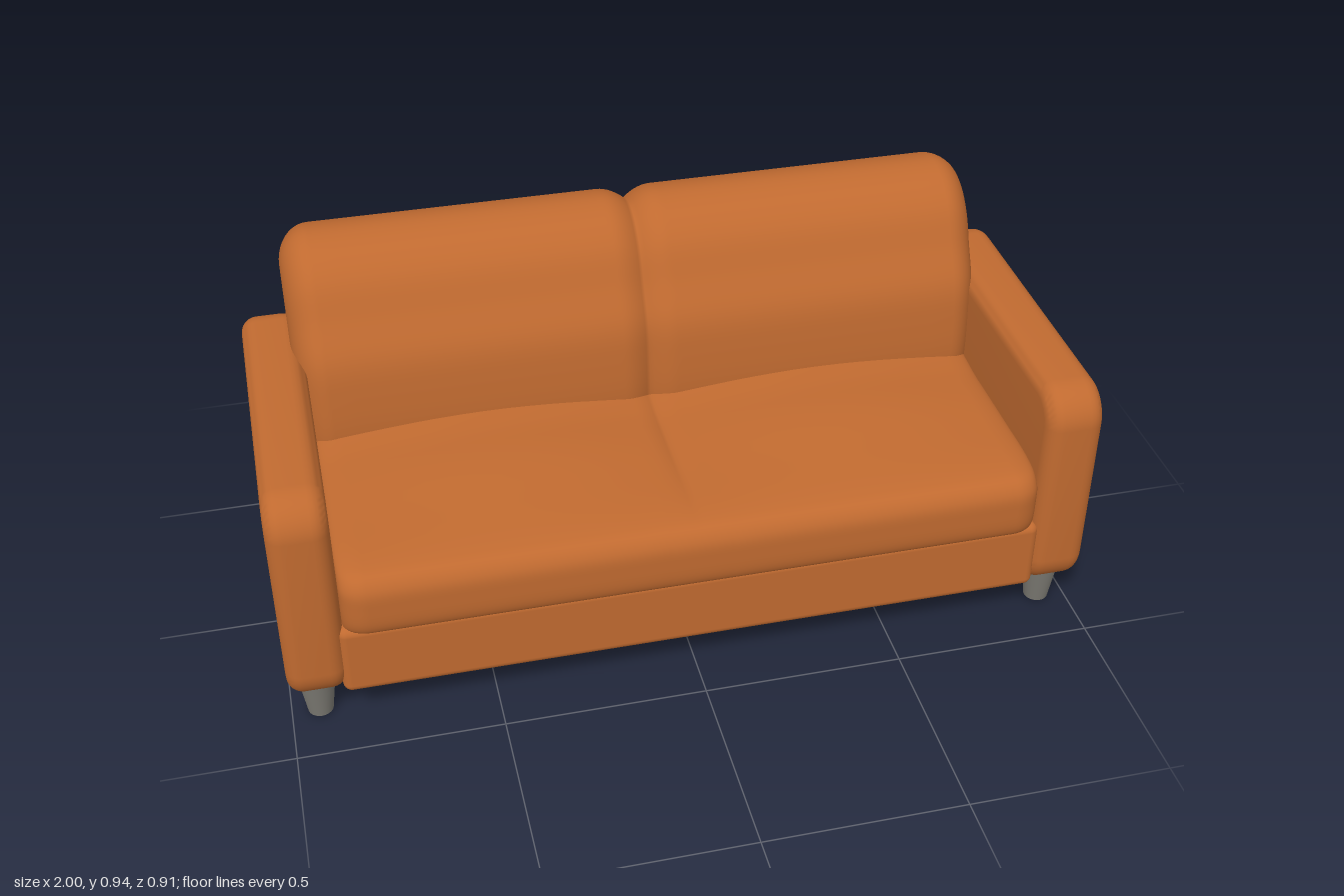
import * as THREE from 'three';
import { toCreasedNormals } from 'three/addons/utils/BufferGeometryUtils.js';
import { RoundedBoxGeometry } from 'three/addons/geometries/RoundedBoxGeometry.js';

const smooth = THREE.MathUtils.smoothstep;

// Quarter-round falloff: 0 up to `start`, rising to 1 at `end`
const roundOff = (x, start, end) => {
  const t = THREE.MathUtils.clamp((Math.abs(x) - start) / (end - start), 0, 1);
  return 1 - Math.sqrt(1 - t * t);
};
// Soft crease between the two cushions
const crease = (x, width) => Math.max(0, 1 - Math.abs(x) / width) ** 2;

// Stations along x, denser at the centre crease and the rounded ends
function stations(start, end) {
  const half = [];
  for (let i = 0; i < 8; i++) half.push(i * 0.01);
  for (let i = 0; i < 12; i++) half.push(0.08 + (start - 0.08) * i / 12);
  for (let i = 0; i <= 10; i++) half.push(start + (end - start) * Math.sin(i / 10 * Math.PI / 2));
  return [...half.slice(1).reverse().map(x => -x), ...half];
}

// Loft a closed (z, y) profile along x; shape(x, z, y) gives the moved [z, y]
function loft(profile, xs, shape, centre) {
  const curve = new THREE.CatmullRomCurve3(profile.map(([z, y]) => new THREE.Vector3(0, y, z)), true);
  const ring = curve.getPoints(profile.length * 6).slice(0, -1);
  const n = ring.length, pos = [], idx = [];
  const addRing = x => ring.forEach(p => {
    const [z, y] = shape(x, p.z, p.y);
    pos.push(x, y, z);
  });
  xs.forEach(addRing);
  for (let i = 0; i < xs.length - 1; i++) {
    for (let j = 0; j < n; j++) {
      const k = (j + 1) % n, a = i * n + j, b = i * n + k;
      idx.push(a, b, a + n, b, b + n, a + n);
    }
  }
  // flat end caps
  for (const x of [xs[0], xs[xs.length - 1]]) {
    const base = pos.length / 3;
    addRing(x);
    pos.push(x, centre[1], centre[0]);
    for (let j = 0; j < n; j++) {
      const a = base + j, b = base + (j + 1) % n;
      idx.push(base + n, ...(x > 0 ? [a, b] : [b, a]));
    }
  }
  const geo = new THREE.BufferGeometry();
  geo.setAttribute('position', new THREE.Float32BufferAttribute(pos, 3));
  geo.setIndex(idx);
  geo.computeVertexNormals();
  return geo;
}

function backGeometry() {
  const profile = [
    [-0.43, 0.11], [-0.443, 0.16], [-0.446, 0.55], [-0.455, 0.8], [-0.446, 0.895],
    [-0.4, 0.925], [-0.33, 0.94], [-0.26, 0.921], [-0.2, 0.87], [-0.152, 0.78],
    [-0.106, 0.69], [-0.09, 0.6], [-0.086, 0.45], [-0.12, 0.35], [-0.3, 0.2],
    [-0.385, 0.135], [-0.4, 0.11],
  ];
  const zc = -0.36;
  return loft(profile, stations(0.805, 0.885), (x, z, y) => {
    const e = roundOff(x, 0.805, 0.885), g = crease(x, 0.07);
    const groove = z > zc ? 0.1 : 0.07;
    return [
      zc + (z - zc) * (1 - 0.45 * e - groove * g),
      y - (0.1 * e + 0.032 * g) * smooth(y, 0.55, 0.94),
    ];
  }, [-0.33, 0.55]);
}

function seatGeometry() {
  const profile = [
    [-0.2, 0.3], [-0.2, 0.47], [0, 0.476], [0.2, 0.476], [0.38, 0.473], [0.43, 0.46],
    [0.452, 0.43], [0.456, 0.38], [0.452, 0.325], [0.44, 0.303], [0.41, 0.296], [0, 0.3],
  ];
  return loft(profile, stations(0.79, 0.855), (x, z, y) => {
    const e = roundOff(x, 0.79, 0.855);
    const top = smooth(y, 0.4, 0.47), rear = 1 - smooth(z, 0.05, 0.45);
    const crown = 0.03 * Math.abs(Math.sin(Math.PI * x / 0.855)) * rear;
    return [
      z - 0.05 * e * smooth(z, 0.1, 0.45),
      y + top * (crown - 0.02 * e - 0.01 * crease(x, 0.05) * rear),
    ];
  }, [0.1, 0.38]);
}

// Rounded slab: side outline with soft bevelled edges
function armGeometry() {
  const b = 0.04, w = 0.4, lo = 0.14, hi = 0.65, r = 0.055;
  const s = new THREE.Shape();
  s.moveTo(-w + r, lo);
  s.lineTo(w - r, lo);
  s.absarc(w - r, lo + r, r, -Math.PI / 2, 0);
  s.absarc(w - r, hi - r, r, 0, Math.PI / 2);
  s.absarc(-w + r, hi - r, r, Math.PI / 2, Math.PI);
  s.absarc(-w + r, lo + r, r, Math.PI, Math.PI * 1.5);
  const geo = new THREE.ExtrudeGeometry(s, {
    depth: 0.065, bevelEnabled: true, bevelSize: b, bevelThickness: b, bevelSegments: 6, curveSegments: 8,
  });
  geo.translate(0, 0, -0.0325);
  geo.rotateY(-Math.PI / 2);
  return toCreasedNormals(geo, 0.7);
}

export function createModel() {
  const group = new THREE.Group();
  const leather = new THREE.MeshStandardMaterial({ color: 0xc06a30 });
  leather.name = 'tan leather';
  const metal = new THREE.MeshStandardMaterial({ color: 0x7b7972 });
  metal.name = 'grey metal';

  const add = (name, geo, mat, x = 0, y = 0, z = 0) => {
    const mesh = new THREE.Mesh(geo, mat);
    mesh.name = name;
    mesh.position.set(x, y, z);
    group.add(mesh);
  };

  add('backrest', backGeometry(), leather);
  add('seatCushion', seatGeometry(), leather);
  add('baseFrame', new RoundedBoxGeometry(1.74, 0.195, 0.82, 4, 0.022), leather, 0, 0.2125, 0.023);

  // arms, each standing on two tapered feet
  const arm = armGeometry();
  const leg = new THREE.CylinderGeometry(0.047, 0.031, 0.115, 24);
  for (const [side, sx] of [['left', 1], ['right', -1]]) {
    add(side + 'Arm', arm, leather, sx * 0.9275, 0, 0);
    for (const [end, sz] of [['Front', 1], ['Rear', -1]]) {
      add(side + end + 'Leg', leg, metal, sx * 0.93, 0.0575, sz * 0.34);
    }
  }
  return group;
}
